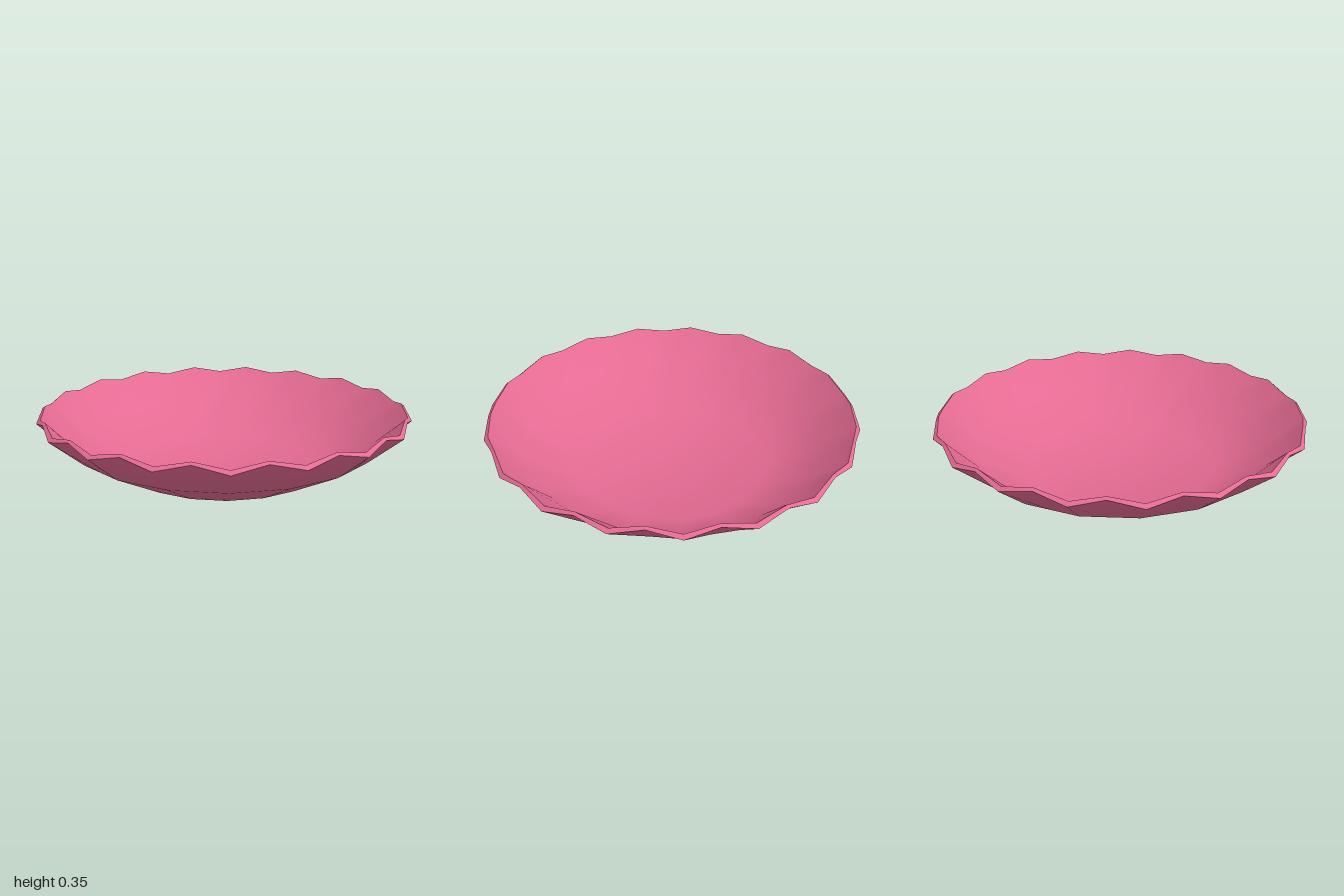
import * as THREE from 'three';

const SEGMENTS = 36; // 18 scallops, each with a dip and a crest

// A ring gives [radius, height] at the dips and at the crests.
// Without crest values the ring is a plain 18-sided polygon.
const ring = (dipR, dipY, crestR = dipR * Math.cos(Math.PI / 18), crestY = dipY) =>
  [[dipR, dipY], [crestR, crestY]];

// Skins a series of rings; centreY closes the first ring, flip turns the faces over.
function skin(rings, { centreY = null, flip = false } = {}) {
  const positions = [], index = [];
  for (const r of rings) {
    for (let i = 0; i < SEGMENTS; i++) {
      const a = (i / SEGMENTS) * Math.PI * 2;
      const [radius, y] = r[i % 2];
      positions.push(Math.cos(a) * radius, y, Math.sin(a) * radius);
    }
  }
  const tri = (a, b, c) => (flip ? index.push(a, c, b) : index.push(a, b, c));
  for (let j = 0; j < rings.length - 1; j++) {
    for (let i = 0; i < SEGMENTS; i++) {
      const a = j * SEGMENTS + i, b = j * SEGMENTS + (i + 1) % SEGMENTS;
      tri(a, a + SEGMENTS, b + SEGMENTS);
      tri(a, b + SEGMENTS, b);
    }
  }
  if (centreY !== null) {
    const centre = positions.length / 3;
    positions.push(0, centreY, 0);
    for (let i = 0; i < SEGMENTS; i++) tri(centre, i, (i + 1) % SEGMENTS);
  }
  const geometry = new THREE.BufferGeometry();
  geometry.setAttribute('position', new THREE.Float32BufferAttribute(positions, 3));
  geometry.setIndex(index);
  geometry.computeVertexNormals();
  return geometry;
}

export function createModel() {
  const bowl = new THREE.Group();
  bowl.name = 'scallopedBowl';
  const material = new THREE.MeshStandardMaterial({ color: 0xe56b93 });
  const add = (name, geometry) => {
    const mesh = new THREE.Mesh(geometry, material);
    mesh.name = name;
    bowl.add(mesh);
  };

  const outerRim = ring(1.0, 0.3, 0.98, 0.338);
  const innerRim = ring(0.978, 0.318, 0.966, 0.35);

  // Underside and outer wall
  add('outerShell', skin([ring(0.53, 0), ring(0.82, 0.15), outerRim], { centreY: 0 }));

  // Floor and inner wall
  add('innerShell', skin([ring(0.525, 0.02), ring(0.805, 0.168), innerRim], { centreY: 0.02, flip: true }));

  // Narrow wavy lip joining both walls
  add('rim', skin([outerRim, innerRim]));

  return bowl;
}
